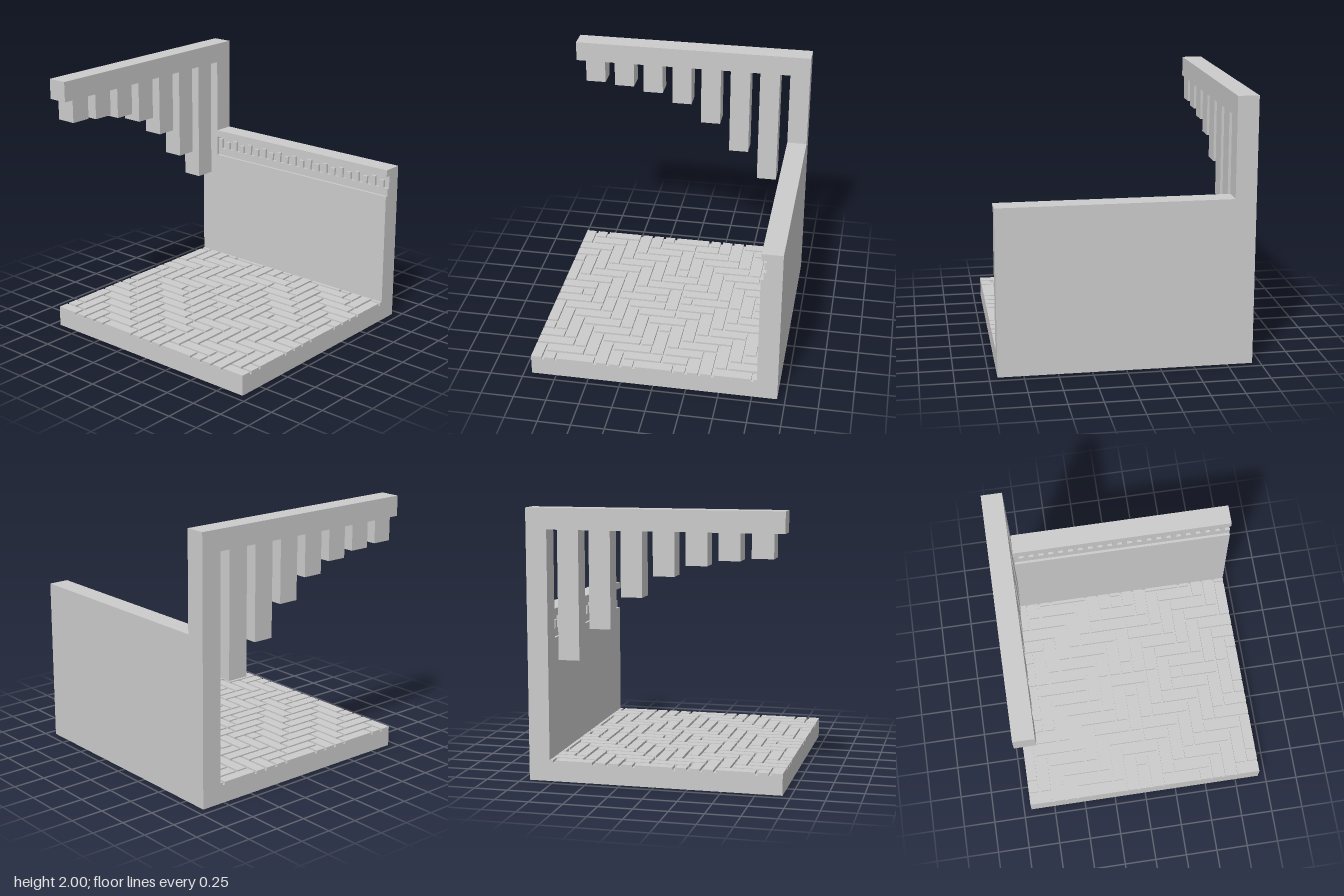
import * as THREE from 'three';

const HALF = 0.94;      // half width of the square footprint
const INNER = 0.784;    // inner face of the wall, pillar and beam
const U = 0.0196;       // groove width and depth
const material = new THREE.MeshStandardMaterial({ color: 0xcccccc, flatShading: true });

// Box given by its opposite corners
function block(parent, name, x0, x1, y0, y1, z0, z1) {
  const mesh = new THREE.Mesh(new THREE.BoxGeometry(x1 - x0, y1 - y0, z1 - z0), material);
  mesh.position.set((x0 + x1) / 2, (y0 + y1) / 2, (z0 + z1) / 2);
  mesh.name = name;
  parent.add(mesh);
  return mesh;
}

// Interlocking paving, mirrored about both axes, in runs of one to three cells
function paving() {
  const group = new THREE.Group();
  group.name = 'pavingStones';
  const n = 9;
  const pitch = (2 * HALF + U) / (2 * n + 1);
  const isAcross = (i, j) => {
    const k = (Math.abs(i) + Math.abs(j)) % 6;
    return k >= 2 && k <= 4;
  };
  const used = new Set();
  const free = (i, j, across) =>
    i <= n && j <= n && !used.has(i + ',' + j) && isAcross(i, j) === across;
  for (let j = -n; j <= n; j++) {
    for (let i = -n; i <= n; i++) {
      if (used.has(i + ',' + j)) continue;
      const across = isAcross(i, j);
      const di = across ? 1 : 0, dj = 1 - di;
      let length = 0;
      while (length < 3 && free(i + di * length, j + dj * length, across)) {
        used.add((i + di * length) + ',' + (j + dj * length));
        length++;
      }
      const x0 = (i + n) * pitch - HALF;
      const z0 = (j + n) * pitch - HALF;
      const x1 = Math.min(x0 + (di ? length : 1) * pitch - U, INNER);
      const z1 = z0 + (dj ? length : 1) * pitch - U;
      if (x1 - x0 > 0.005) block(group, 'pavingStone', x0, x1, 0.137, 0.157, z0, z1);
    }
  }
  return group;
}

// Side wall with a stepped recess under its top inner edge
function sideWall() {
  const group = new THREE.Group();
  group.name = 'sideWall';
  const profile = new THREE.Shape([
    [INNER, 0], [HALF, 0], [HALF, 1.255], [INNER, 1.255], [INNER, 1.2],
    [INNER + 2 * U, 1.2], [INNER + 2 * U, 1.1], [INNER + U, 1.1], [INNER + U, 1.04], [INNER, 1.04],
  ].map(([x, y]) => new THREE.Vector2(x, y)));
  const geometry = new THREE.ExtrudeGeometry(profile, { depth: HALF + INNER, bevelEnabled: false });
  geometry.translate(0, 0, -INNER);
  const wall = new THREE.Mesh(geometry, material);
  wall.name = 'wallBody';
  group.add(wall);
  // Small teeth lining the recess
  for (let k = 0; k < 22; k++) {
    const z = HALF - 0.04 - k * 4 * U;
    block(group, 'friezeTooth', INNER + U, INNER + 2 * U, 1.1, k % 2 ? 1.18 : 1.16, z - 2 * U, z);
  }
  return group;
}

export function createModel() {
  const model = new THREE.Group();
  model.name = 'pavedCorner';

  // Floor slab and its raised stones
  block(model, 'floorSlab', -HALF, INNER, 0, 0.137, -HALF, HALF);
  model.add(paving());

  // Wall, corner pillar and overhead beam
  model.add(sideWall());
  block(model, 'cornerPillar', INNER, HALF, 0, 2, -HALF, -INNER);
  block(model, 'overheadBeam', -HALF, INNER, 1.845, 2, -HALF, -INNER);

  // Hanging bars, growing longer towards the pillar
  const bars = new THREE.Group();
  bars.name = 'hangingBars';
  [1.67, 1.65, 1.61, 1.53, 1.375, 1.14, 0.905].forEach((bottom, i) => {
    const x = -0.863 + i * 0.235;
    block(bars, 'hangingBar', x, x + 0.157, bottom, 1.845, -HALF, -INNER);
  });
  model.add(bars);
  return model;
}
